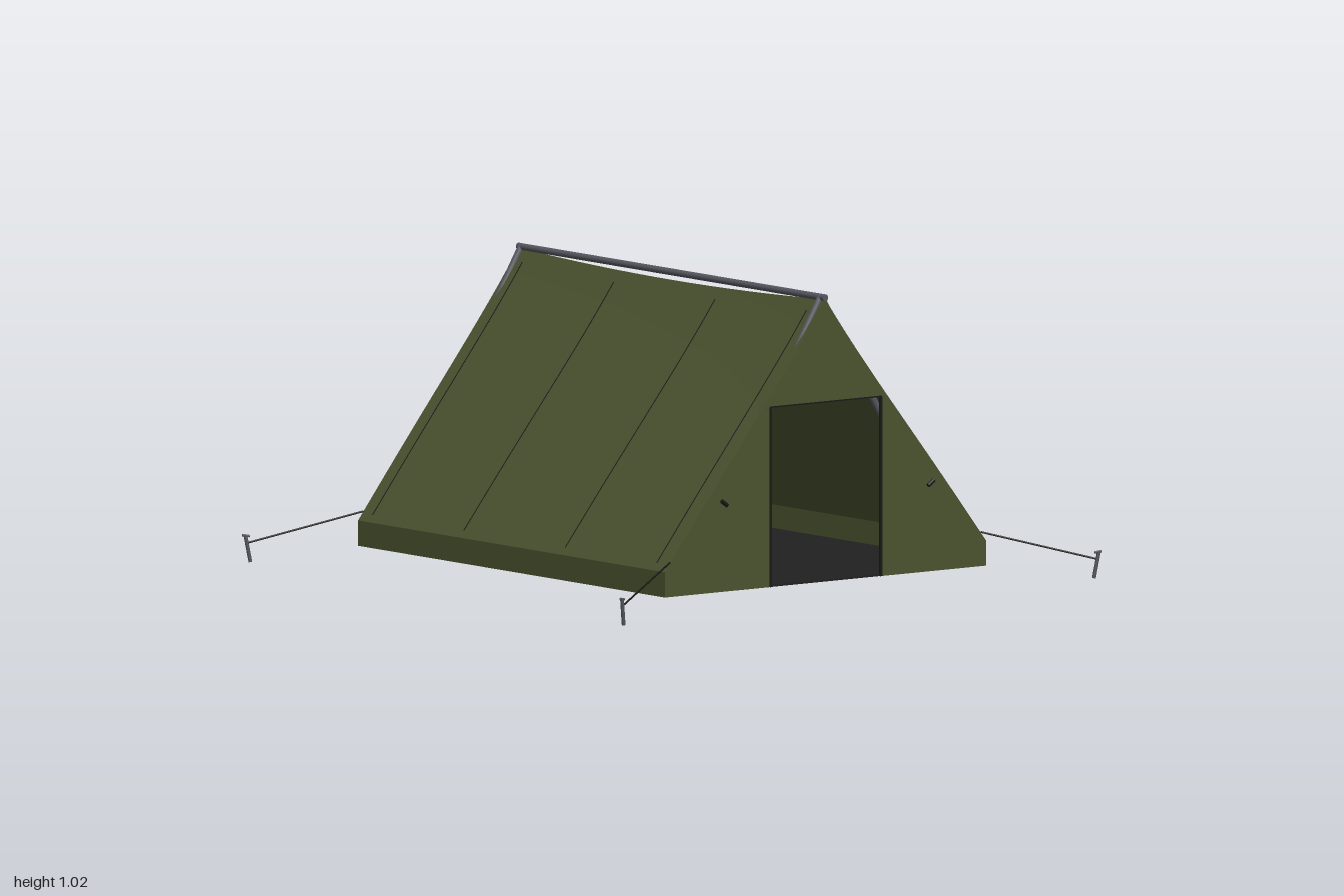
import * as THREE from 'three';
import { ParametricGeometry } from 'three/addons/geometries/ParametricGeometry.js';

const HALF_W = 0.62, HALF_L = 0.81, BASE = 0.085, EAVE = 0.165, RIDGE = 0.976;

export function createModel() {
  const group = new THREE.Group();
  const material = (name, color, side = THREE.FrontSide) => {
    const m = new THREE.MeshStandardMaterial({ color, side });
    m.name = name;
    return m;
  };
  const canvas = material('olive canvas', 0x4b5430, THREE.DoubleSide);
  const floorMat = material('dark groundsheet', 0x202022);
  const trim = material('black trim', 0x181a16, THREE.DoubleSide);
  const metal = material('grey metal', 0x565961);

  // The whole tent stands on gently sloping ground
  const slope = new THREE.Matrix4().set(
    1, 0, 0, 0.004,
    -0.013, 1, 0.028, 0,
    0, 0, 1, -0.003,
    0, 0, 0, 1);
  const add = (name, geometry, mat) => {
    geometry.applyMatrix4(slope);
    const mesh = new THREE.Mesh(geometry, mat);
    mesh.name = name;
    group.add(mesh);
    return mesh;
  };

  // Round rod between two points
  const rod = (name, from, to, radius, mat, sides = 8) => {
    const a = new THREE.Vector3(...from), b = new THREE.Vector3(...to);
    const dir = b.clone().sub(a);
    const g = new THREE.CylinderGeometry(radius, radius, dir.length(), sides);
    g.applyQuaternion(new THREE.Quaternion().setFromUnitVectors(
      new THREE.Vector3(0, 1, 0), dir.normalize()));
    const mid = a.add(b).multiplyScalar(0.5);
    g.translate(mid.x, mid.y, mid.z);
    return add(name, g, mat);
  };

  // Roof cloth: t runs from eave (0) to ridge (1), sagging between the end frames
  const roofY = (t, z) => THREE.MathUtils.lerp(EAVE, RIDGE, t)
    - 0.1 * t ** 3 * (1 - t)
    - 0.02 * t * (1 - (z / HALF_L) ** 2);
  const roofPatch = (side, z0, z1, t0, t1, lift, nz) => new ParametricGeometry((u, v, p) => {
    const z = THREE.MathUtils.lerp(z0, z1, side > 0 ? 1 - u : u);
    const t = THREE.MathUtils.lerp(t0, t1, v);
    p.set(side * (HALF_W * (1 - t) + lift * 0.8), roofY(t, z) + lift * 0.6, z);
  }, nz, 16);

  for (const side of [-1, 1]) {
    const label = side > 0 ? 'left' : 'right';
    add(label + 'RoofPanel', roofPatch(side, -HALF_L, HALF_L, 0, 1, 0, 16), canvas);

    const wall = new THREE.PlaneGeometry(HALF_L * 2, EAVE - BASE);
    wall.rotateY(side * Math.PI / 2);
    wall.translate(side * HALF_W, (EAVE + BASE) / 2, 0);
    add(label + 'LowSideWall', wall, canvas);

    // Stitched seams down the roof
    for (const z of [-0.752, -0.27, 0.265, 0.748]) {
      add(label + 'RoofSeam', roofPatch(side, z - 0.0025, z + 0.0025, 0.025, 0.96, 0.003, 1), trim);
    }
  }

  // End walls, the front one with a doorway notch
  const endWall = (door) => {
    const s = new THREE.Shape();
    s.moveTo(-HALF_W, BASE);
    if (door) {
      s.lineTo(-0.213, BASE);
      s.lineTo(-0.213, 0.653);
      s.lineTo(0.213, 0.653);
      s.lineTo(0.213, BASE);
    }
    s.lineTo(HALF_W, BASE);
    for (let i = 0; i <= 32; i++) {
      const t = i <= 16 ? i / 16 : 2 - i / 16;
      s.lineTo((i <= 16 ? 1 : -1) * HALF_W * (1 - t), roofY(t, HALF_L));
    }
    return new THREE.ShapeGeometry(s);
  };
  add('frontWall', endWall(true).translate(0, 0, HALF_L), canvas);
  add('backWall', endWall(false).rotateY(Math.PI).translate(0, 0, -HALF_L), canvas);

  // Groundsheet
  add('floor', new THREE.BoxGeometry(HALF_W * 2 - 0.004, 0.006, HALF_L * 2 - 0.004)
    .translate(0, BASE + 0.003, 0), floorMat);

  // Doorway binding
  for (const x of [-0.213, 0.213]) {
    add('doorSideTrim', new THREE.BoxGeometry(0.007, 0.653 - BASE, 0.008)
      .translate(x, (0.653 + BASE) / 2, HALF_L), trim);
  }
  add('doorTopTrim', new THREE.BoxGeometry(0.43, 0.004, 0.008).translate(0, 0.653, HALF_L), trim);

  // Ridge pole and A-frames
  rod('ridgePole', [0, 0.981, -HALF_L], [0, 0.981, HALF_L], 0.011, metal, 10);
  for (const z of [-0.795, 0.785]) {
    for (const side of [-1, 1]) {
      rod('framePole', [0, 0.983, z], [side * 0.53, BASE + 0.006, z], 0.011, metal, 10);
    }
  }

  for (const sx of [-1, 1]) {
    // Door tie toggles
    rod('toggle', [sx * 0.388, 0.358, HALF_L + 0.012], [sx * 0.41, 0.374, HALF_L + 0.012], 0.007, trim);
    // Guy lines and pegs at each corner
    for (const sz of [-1, 1]) {
      rod('guyLine', [sx * 0.6, 0.193, sz * 0.808], [sx * 0.917, 0.1, sz * 0.99], 0.003, trim, 6);
      rod('peg', [sx * 0.908, 0.04, sz * 0.985], [sx * 0.921, 0.125, sz * 0.994], 0.006, metal);
      rod('pegHead', [sx * 0.908, 0.121, sz * 0.988], [sx * 0.93, 0.125, sz * 0.998], 0.004, metal, 6);
    }
  }
  return group;
}
